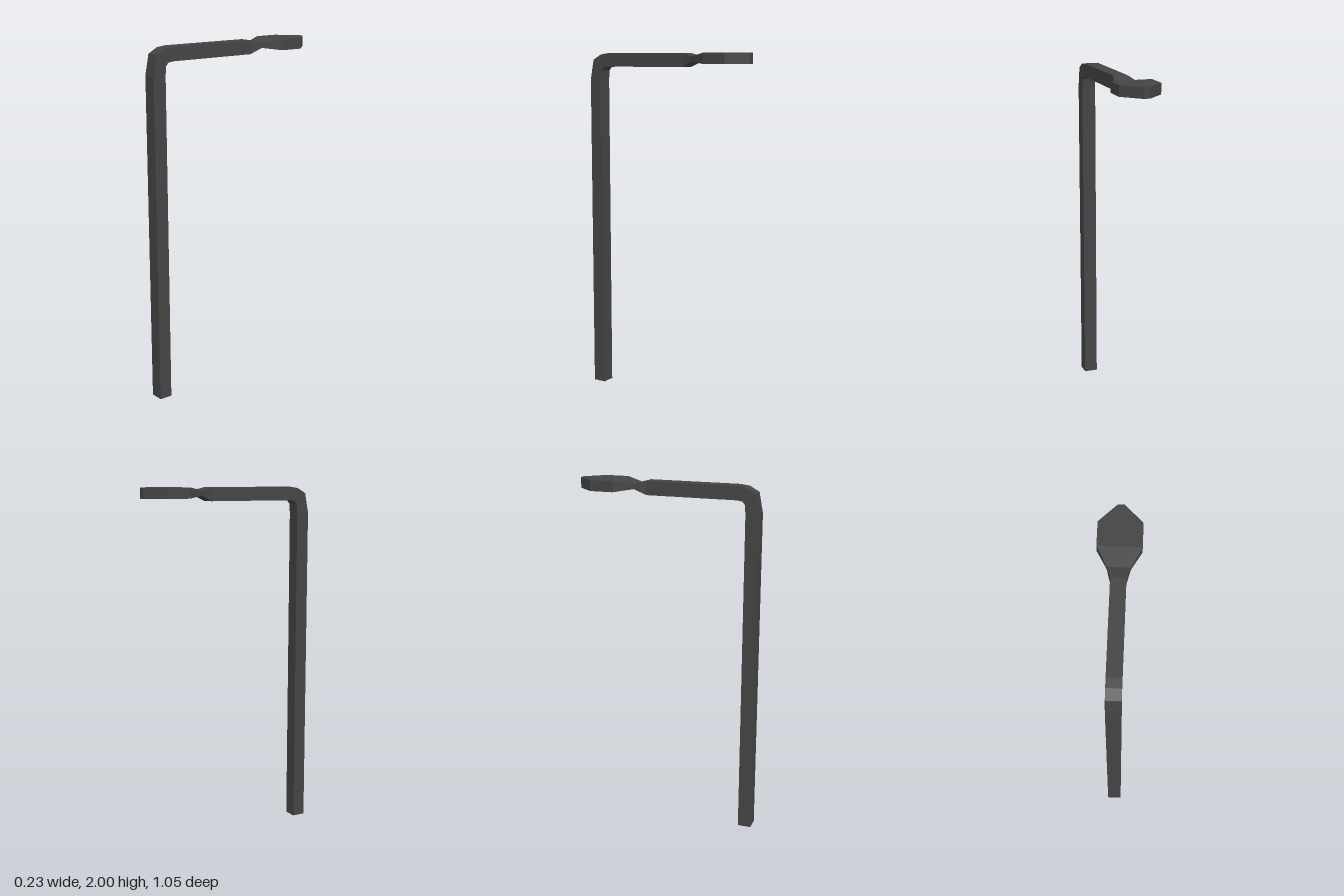
import * as THREE from 'three';

// Cross-sections along the lamp: [outer z, outer y, inner z, inner y, half width]
const POST = [
  [0.525, 0, 0.45, 0, 0.04],
  [0.525, 1.85, 0.45, 1.85, 0.04],
];
const BEND = [
  POST[1],
  [0.503, 1.963, 0.446, 1.9, 0.04],
  [0.45, 1.993, 0.432, 1.918, 0.04],
  [0.4, 2, 0.4, 1.923, 0.04],
];
const ARM = [
  BEND[3],
  [-0.12, 2, -0.12, 1.923, 0.04],
  [-0.185, 1.982, -0.185, 1.955, 0.06],
];
const HEAD = [
  ARM[2],
  [-0.29, 2, -0.29, 1.94, 0.115],
  [-0.425, 2, -0.425, 1.94, 0.115],
  [-0.525, 2, -0.525, 1.94, 0.017],
];

// Skin a run of rectangular sections with flat faces, capping only the open ends
function loft(sections, capStart, capEnd) {
  const rings = sections.map(([oz, oy, iz, iy, w]) => [
    [w, oy, oz], [-w, oy, oz], [-w, iy, iz], [w, iy, iz],
  ]);
  const pos = [];
  const quad = (a, b, c, d) => [a, b, c, a, c, d].forEach((p) => pos.push(...p));
  for (let k = 0; k < rings.length - 1; k++) {
    const r = rings[k], n = rings[k + 1];
    for (let i = 0; i < 4; i++) {
      const j = (i + 1) % 4;
      quad(r[j], r[i], n[i], n[j]);
    }
  }
  if (capStart) quad(...rings[0]);
  if (capEnd) quad(...[...rings[rings.length - 1]].reverse());
  const geo = new THREE.BufferGeometry();
  geo.setAttribute('position', new THREE.Float32BufferAttribute(pos, 3));
  geo.computeVertexNormals();
  return geo;
}

export function createModel() {
  const group = new THREE.Group();
  group.name = 'streetLamp';
  const metal = new THREE.MeshStandardMaterial({ color: 0x444444, flatShading: true });
  metal.name = 'darkGreyMetal';

  const add = (name, sections, capStart = false, capEnd = false) => {
    const mesh = new THREE.Mesh(loft(sections, capStart, capEnd), metal);
    mesh.name = name;
    group.add(mesh);
  };

  add('post', POST, true);
  add('bend', BEND);
  add('arm', ARM);
  add('lampHead', HEAD, false, true);
  return group;
}
